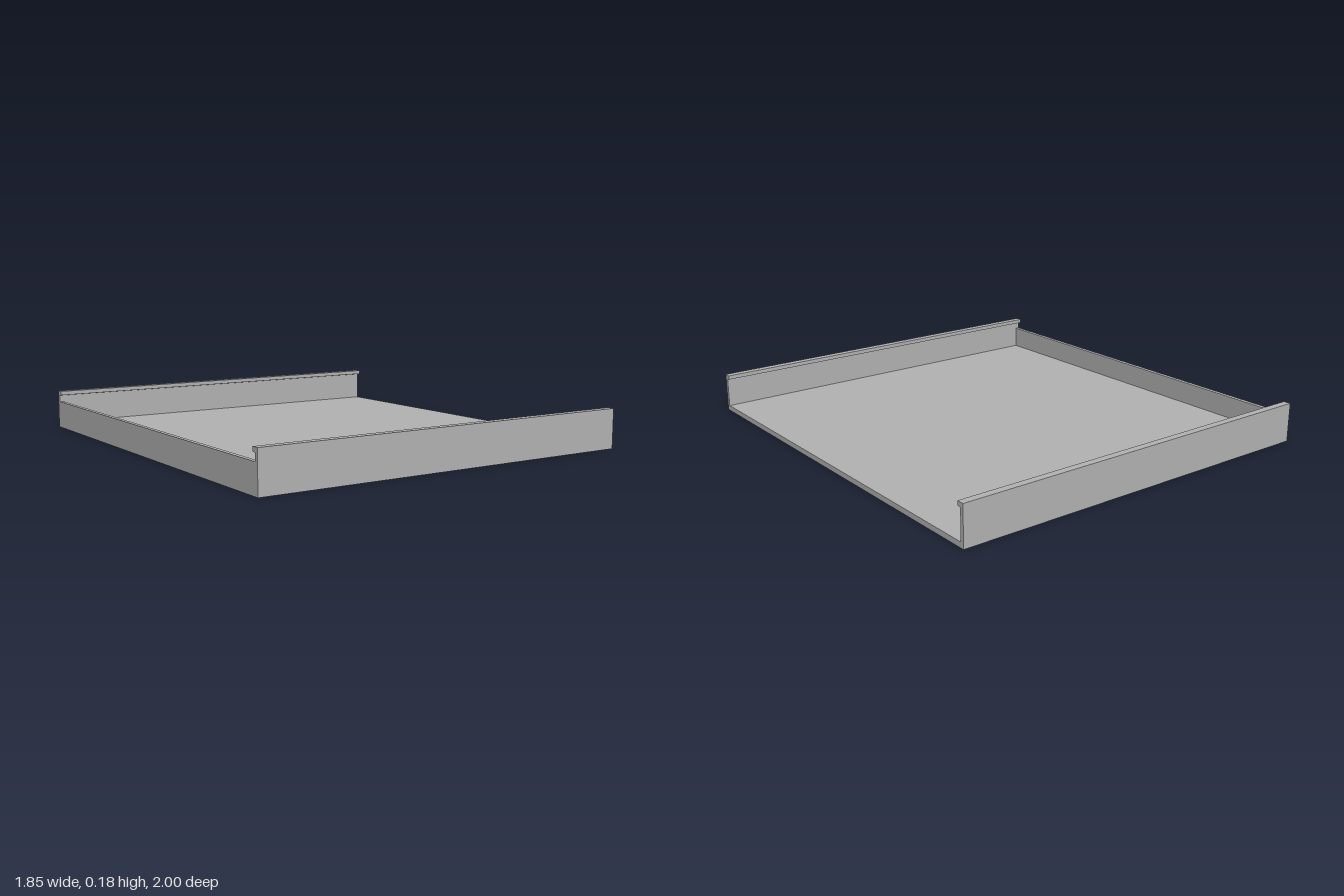
import * as THREE from 'three';

export function createModel() {
  const group = new THREE.Group();
  group.name = 'tray';
  const grey = new THREE.MeshStandardMaterial({ color: 0xb2b2b2 });
  grey.name = 'grey';

  const halfX = 0.925, halfZ = 1, floorTop = 0.025, wall = 0.018;
  const top = 0.184, lipBottom = 0.165, lip = 0.035;

  // Channel section: floor with two side walls, each ending in an inward lip
  const half = [
    [halfZ, 0], [halfZ, top], [halfZ - lip, top], [halfZ - lip, lipBottom],
    [halfZ - wall, lipBottom - 0.003], [halfZ - wall, floorTop],
  ];
  const mirrored = half.map(([z, y]) => [-z, y]).reverse();
  const section = new THREE.Shape([...half, ...mirrored].map(([z, y]) => new THREE.Vector2(z, y)));
  const channelGeometry = new THREE.ExtrudeGeometry(section, { depth: 2 * halfX, bevelEnabled: false });
  channelGeometry.translate(0, 0, -halfX).rotateY(Math.PI / 2);
  const channel = new THREE.Mesh(channelGeometry, grey);
  channel.name = 'floorAndLippedWalls';
  group.add(channel);

  // Lower end wall closing one side; the opposite side stays open
  const endHeight = 0.13 - floorTop, endThickness = 0.02;
  const endWall = new THREE.Mesh(
    new THREE.BoxGeometry(endThickness, endHeight, 2 * (halfZ - wall)), grey);
  endWall.position.set(-halfX + endThickness / 2, floorTop + endHeight / 2, 0);
  endWall.name = 'endWall';
  group.add(endWall);

  return group;
}
